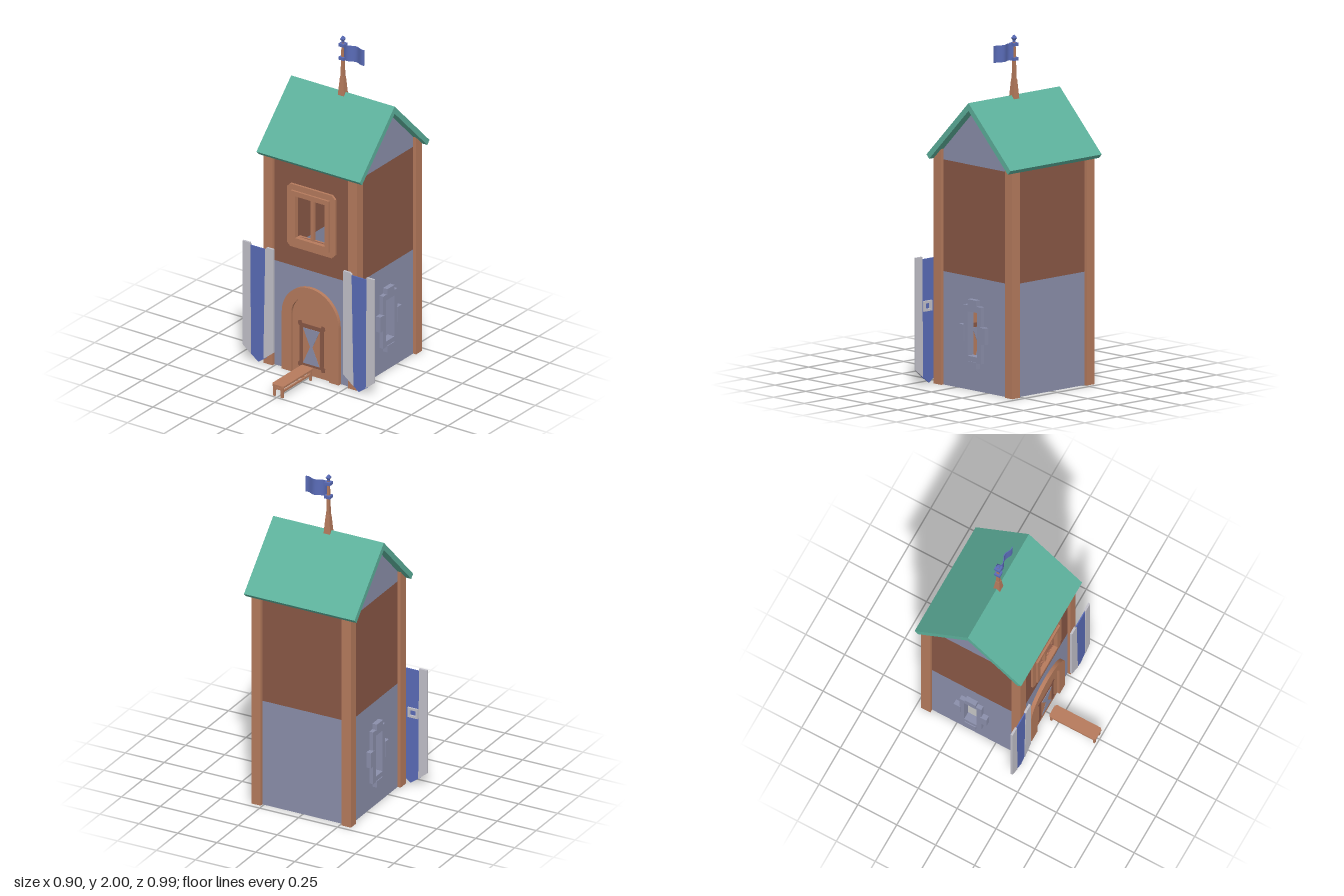
import * as THREE from 'three';

const mat = (name, color, side = THREE.FrontSide) => {
  const m = new THREE.MeshStandardMaterial({ color, side });
  m.name = name;
  return m;
};

export function createModel() {
  const wood = mat('wood', 0xb67b5d);
  const darkWood = mat('dark wood', 0x8a5846);
  const stone = mat('stone', 0x8b8fab);
  const green = mat('green roof', 0x5db19c);
  const blue = mat('blue cloth', 0x5a6cb8, THREE.DoubleSide);
  const pale = mat('pale trim', 0xc2c1ca);

  const root = new THREE.Group();
  const tower = new THREE.Group();
  tower.name = 'tower';
  tower.position.z = -0.15;
  root.add(tower);

  const add = (parent, name, geo, material, x = 0, y = 0, z = 0) => {
    const m = new THREE.Mesh(geo, material);
    m.name = name;
    m.position.set(x, y, z);
    parent.add(m);
    return m;
  };
  const box = (parent, name, material, w, h, d, x, y, z) =>
    add(parent, name, new THREE.BoxGeometry(w, h, d), material, x, y, z);
  const poly = pts => new THREE.Shape(pts.map(p => new THREE.Vector2(...p)));
  const rect = (w, y0, y1) => poly([[-w, y0], [w, y0], [w, y1], [-w, y1]]);
  const chamfered = (w, y0, y1, c) => poly([[-w + c, y0], [w - c, y0], [w, y0 + c], [w, y1 - c],
    [w - c, y1], [-w + c, y1], [-w, y1 - c], [-w, y0 + c]]);
  const holed = (shape, hole) => { shape.holes.push(hole); return shape; };
  // plate standing in the xy plane between depths z0 and z1
  const plate = (parent, name, material, shape, z0, z1) =>
    add(parent, name, new THREE.ExtrudeGeometry(shape,
      { depth: z1 - z0, bevelEnabled: false, curveSegments: 20 }), material, 0, 0, z0);
  const arch = (r, cy) => {
    const s = new THREE.Shape();
    s.moveTo(-r, 0);
    s.lineTo(r, 0);
    s.lineTo(r, cy);
    s.absarc(0, cy, r, 0, Math.PI, false);
    s.lineTo(-r, 0);
    return s;
  };
  // upright ring or band following an arch, open at the ground
  const archBand = (r, cy, ri, ciy) => {
    const s = new THREE.Shape();
    s.moveTo(ri, 0);
    s.lineTo(r, 0);
    s.lineTo(r, cy);
    s.absarc(0, cy, r, 0, Math.PI, false);
    s.lineTo(-r, 0);
    s.lineTo(-ri, 0);
    s.lineTo(-ri, ciy);
    s.absarc(0, ciy, ri, Math.PI, 0, true);
    s.lineTo(ri, 0);
    return s;
  };

  // corner posts with tops cut to the roof slope
  for (const sx of [-1, 1]) for (const sz of [-1, 1]) {
    const g = new THREE.BoxGeometry(0.06, 1.3, 0.06).translate(sx * 0.29, 0.65, sz * 0.29);
    const p = g.attributes.position;
    for (let i = 0; i < p.count; i++)
      if (p.getY(i) > 1) p.setY(i, 1.612 - Math.abs(p.getZ(i)));
    const flat = g.toNonIndexed();
    flat.computeVertexNormals();
    add(tower, 'cornerPost', flat, wood);
  }

  // front wall with doorway and upper window opening
  const front = new THREE.Group();
  front.name = 'frontWall';
  tower.add(front);
  const lower = archBand(0.16, 0.36, 0.15, 0.36);
  const lowerWall = new THREE.Shape();
  lowerWall.moveTo(0.15, 0);
  [[0.28, 0], [0.28, 0.65], [-0.28, 0.65], [-0.28, 0], [-0.15, 0], [-0.15, 0.36]]
    .forEach(q => lowerWall.lineTo(...q));
  lowerWall.absarc(0, 0.36, 0.15, Math.PI, 0, true);
  lowerWall.lineTo(0.15, 0);
  plate(front, 'lowerFrontWall', stone, lowerWall, 0.28, 0.3);
  plate(front, 'doorJamb', wood, lower, 0.279, 0.301);
  plate(front, 'upperFrontWall', darkWood,
    holed(rect(0.28, 0.65, 1.31), rect(0.1, 0.84, 1.1)), 0.28, 0.3);

  // door and its arched surround
  plate(front, 'doorArch', wood, archBand(0.195, 0.355, 0.13, 0.36), 0.295, 0.322);
  plate(front, 'door', wood, arch(0.152, 0.36), 0.285, 0.306);
  const notch = [];
  for (const [sx, sy] of [[1, -1], [1, 1], [-1, 1], [-1, -1]]) {
    const c = [[0.065, 0.13], [0.07, 0.145], [0.09, 0.14], [0.093, 0.12], [0.083, 0.11]];
    if (sx * sy > 0) c.reverse();
    c.forEach(([x, y]) => notch.push([sx * x, 0.185 + sy * y]));
  }
  const hourglass = [[-0.057, 0.29], [-0.008, 0.18], [-0.057, 0.07],
    [0.057, 0.07], [0.008, 0.18], [0.057, 0.29]];
  const panels = [[0.305, 0.309, 0.312], [0.285, 0.282, 0.279]];
  for (const [a, b, c] of panels) {
    const span = (u, v) => [Math.min(u, v), Math.max(u, v)];
    plate(front, 'doorPanel', darkWood, poly(notch), ...span(a, b));
    plate(front, 'doorPanelField', wood, rect(0.057, 0.07, 0.29), ...span(a, (b + c) / 2));
    plate(front, 'doorHourglass', stone, poly(hourglass), ...span(a, c));
  }

  // upper window frame in two steps, with a mullion
  plate(front, 'windowSurround', wood,
    holed(chamfered(0.165, 0.775, 1.165, 0.022), rect(0.1, 0.84, 1.1)), 0.295, 0.314);
  plate(front, 'windowFrame', wood,
    holed(rect(0.13, 0.81, 1.13), rect(0.1, 0.84, 1.1)), 0.279, 0.326);
  box(front, 'windowMullion', wood, 0.02, 0.27, 0.02, 0, 0.97, 0.295);

  // back wall
  box(tower, 'lowerBackWall', stone, 0.56, 0.65, 0.02, 0, 0.325, -0.29);
  box(tower, 'upperBackWall', darkWood, 0.56, 0.66, 0.02, 0, 0.98, -0.29);

  // side walls, gables and slit windows
  for (const s of [-1, 1]) {
    const side = new THREE.Group();
    side.name = s > 0 ? 'leftWall' : 'rightWall';
    side.rotation.y = s * Math.PI / 2;
    tower.add(side);
    const slit = () => rect(0.04, 0.2, 0.455);
    plate(side, 'lowerSideWall', stone, holed(rect(0.28, 0, 0.65), slit()), 0.28, 0.3);
    plate(side, 'upperSideWall', darkWood, rect(0.28, 0.65, 1.29), 0.28, 0.3);
    plate(side, 'gable', stone,
      poly([[-0.3, 1.29], [0.3, 1.29], [0.3, 1.312], [0, 1.612], [-0.3, 1.312]]), 0.28, 0.3);
    plate(side, 'slitFrame', stone, holed(rect(0.07, 0.165, 0.49), slit()), 0.279, 0.325);
    for (const t of [-1, 1]) {
      box(side, 'slitFrameBlock', stone, 0.07, 0.04, 0.035, 0, 0.3275 + t * 0.1775, 0.3125);
      box(side, 'slitFrameBlock', stone, 0.04, 0.095, 0.035, t * 0.085, 0.3275, 0.3125);
    }
  }

  // gabled roof
  const roof = new THREE.ExtrudeGeometry(poly([[-0.342, 1.315], [-0.32, 1.292], [0, 1.612],
    [0.32, 1.292], [0.342, 1.315], [0, 1.657]]), { depth: 0.71, bevelEnabled: false });
  roof.translate(0, 0, -0.355).rotateY(Math.PI / 2);
  add(tower, 'roof', roof, green);

  // square tapered flagpole with collars and finial
  const taper = (name, material, y0, y1, r0, r1) => {
    const g = new THREE.CylinderGeometry(r1 * Math.SQRT2, r0 * Math.SQRT2, y1 - y0, 4)
      .rotateY(Math.PI / 4).toNonIndexed();
    g.computeVertexNormals();
    add(tower, name, g, material, 0, (y0 + y1) / 2, 0);
  };
  taper('poleBase', wood, 1.635, 1.75, 0.021, 0.012);
  taper('pole', wood, 1.75, 1.96, 0.01, 0.006);
  taper('poleCollar', blue, 1.855, 1.873, 0.018, 0.018);
  taper('poleCollar', blue, 1.938, 1.956, 0.018, 0.018);
  taper('finialNeck', blue, 1.956, 1.975, 0.006, 0.006);
  taper('finialLower', blue, 1.97, 1.983, 0.006, 0.012);
  taper('finialTip', blue, 1.983, 2.0, 0.012, 0.003);

  // waving flag
  const flag = new THREE.BoxGeometry(0.142, 0.097, 0.004, 12, 1, 1).translate(0.079, 1.906, 0);
  const fp = flag.attributes.position;
  for (let i = 0; i < fp.count; i++)
    fp.setZ(i, fp.getZ(i) + 0.009 * Math.sin((fp.getX(i) - 0.008) * 60));
  flag.computeVertexNormals();
  add(tower, 'flag', flag, blue);

  // hanging banners with pale borders and a square loop behind
  for (const s of [-1, 1]) {
    const banner = new THREE.Group();
    banner.name = s > 0 ? 'leftBanner' : 'rightBanner';
    root.add(banner);
    const shape = pts => poly(pts.map(([x, y]) => [s * x, y]));
    plate(banner, 'bannerCloth', blue, shape([[0.29, 0.72], [0.405, 0.72], [0.405, 0.05],
      [0.345, 0.006], [0.29, 0.045]]), 0.181, 0.187);
    plate(banner, 'bannerOuterBorder', pale, shape([[0.4, 0.735], [0.451, 0.735],
      [0.451, 0.09], [0.395, 0.045]]), 0.178, 0.191);
    plate(banner, 'bannerInnerBorder', pale, shape([[0.24, 0.735], [0.285, 0.735], [0.295, 0.725],
      [0.308, 0.035], [0.24, 0.09]]), 0.178, 0.191);
    const loop = plate(banner, 'bannerLoop', pale,
      holed(rect(0.032, 0.42, 0.48), rect(0.018, 0.434, 0.466)), 0.171, 0.182);
    loop.position.x = s * 0.362;
  }

  // bench before the door
  const bench = new THREE.Group();
  bench.name = 'bench';
  bench.position.z = 0.345;
  root.add(bench);
  const seat = new THREE.ExtrudeGeometry(chamfered(0.041, -0.15, 0.15, 0.01),
    { depth: 0.012, bevelEnabled: false }).rotateX(-Math.PI / 2);
  add(bench, 'benchSeat', seat, wood, 0, 0.063, 0);
  for (const sx of [-1, 1]) {
    box(bench, 'benchRail', wood, 0.01, 0.012, 0.27, sx * 0.027, 0.038, 0);
    for (const sz of [-1, 1])
      box(bench, 'benchLeg', wood, 0.014, 0.064, 0.012, sx * 0.027, 0.032, sz * 0.138);
  }
  for (const sz of [-1, 1])
    box(bench, 'benchCrossRail', wood, 0.05, 0.012, 0.008, 0, 0.05, sz * 0.138);

  return root;
}
